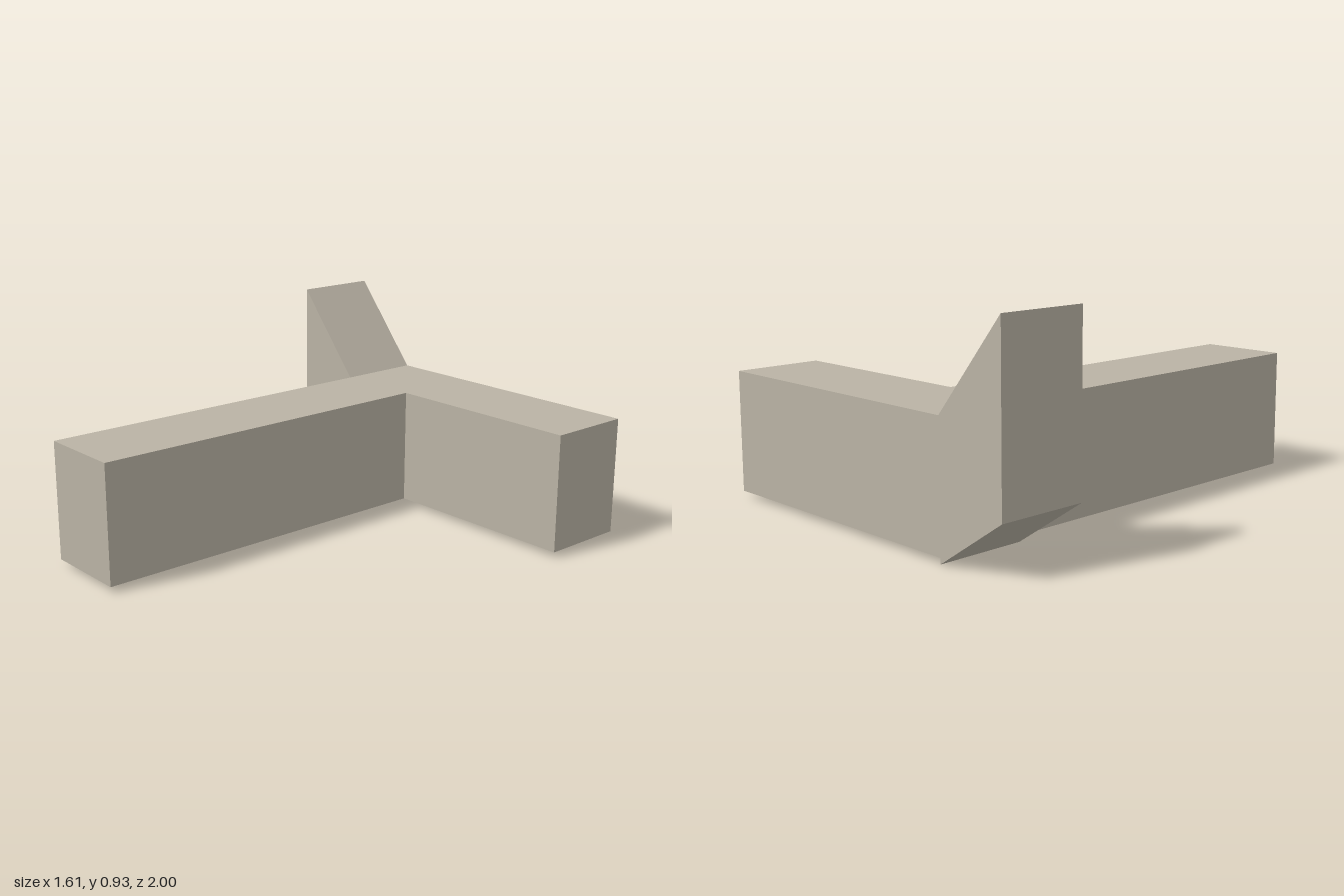
import * as THREE from 'three';

// Solid prism from an outline of [x, y] points
function prism(points, depth) {
  const shape = new THREE.Shape(points.map(([x, y]) => new THREE.Vector2(x, y)));
  return new THREE.ExtrudeGeometry(shape, { depth, bevelEnabled: false });
}

export function createModel() {
  const group = new THREE.Group();
  const stone = new THREE.MeshStandardMaterial({ color: 0xbab3a5 });
  stone.name = 'warm grey';

  const left = 0.805, corner = -0.485, inner = -0.1, right = -0.808;
  const back = -1, armFront = -0.615, front = 1;
  const bottom = 0.025, top = 0.54;

  // L-shaped body: long front wing and side wing, outlined in plan (x, -z)
  const plan = prism([
    [corner, -front], [inner, -front], [inner, -armFront],
    [left, -armFront], [left, -back], [corner, -back],
  ], top - bottom);
  plan.rotateX(-Math.PI / 2);
  plan.translate(0, bottom, 0);
  const body = new THREE.Mesh(plan, stone);
  body.name = 'cornerBody';
  group.add(body);

  // Raised slanted wing at the back corner, outlined from the front
  const slant = prism([
    [right, 0.215], [corner, 0], [corner, top], [right, 0.925],
  ], armFront - back);
  slant.translate(0, 0, back);
  const wing = new THREE.Mesh(slant, stone);
  wing.name = 'slantedWing';
  group.add(wing);

  return group;
}
